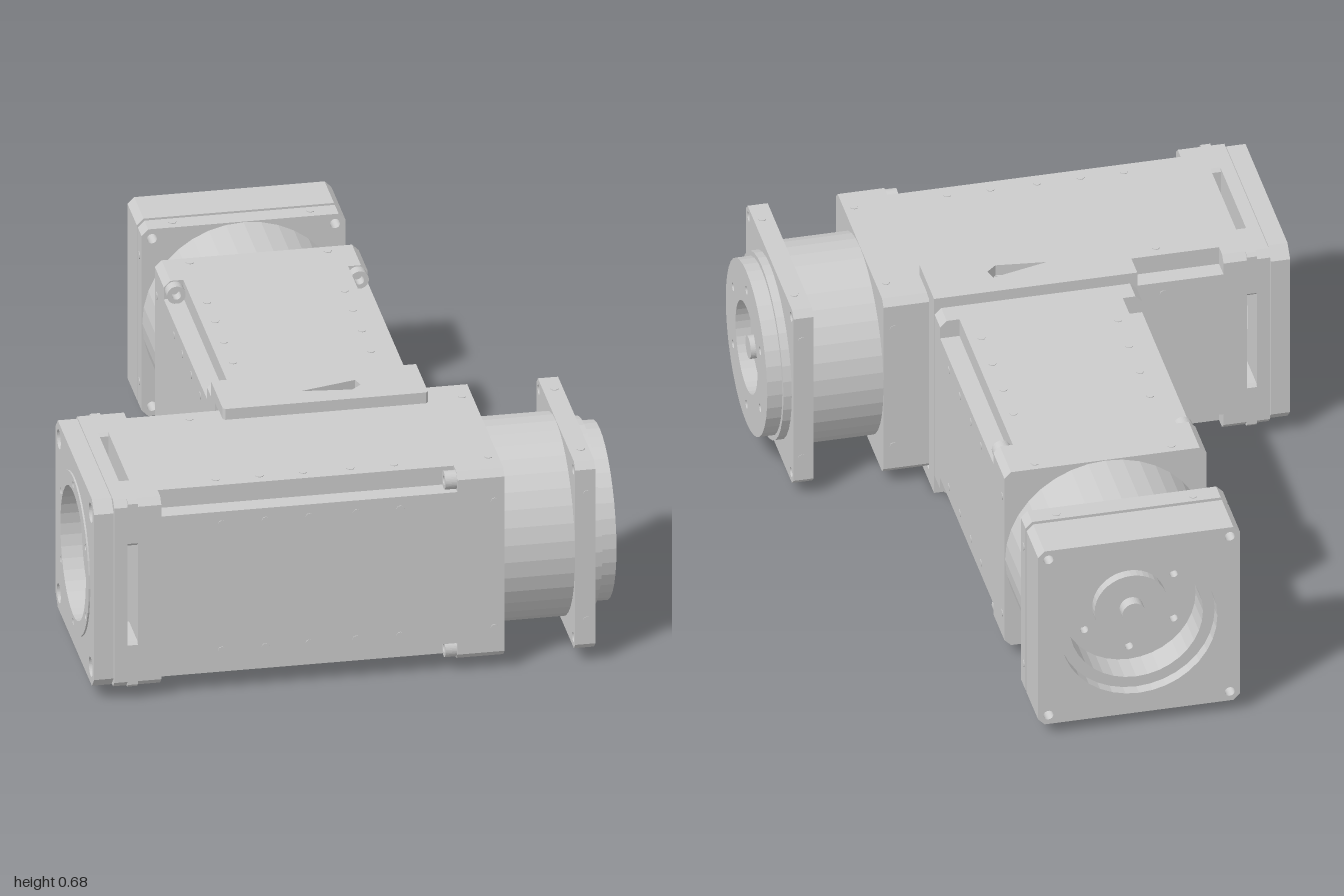
import * as THREE from 'three';

const HALF = 0.303;      // half width of the square housings
const INNER = 0.245;     // half width inside the corner grooves
const BOLT = 0.272;      // corner bolt offset
const material = new THREE.MeshStandardMaterial({ color: 0xcccccc });
const corners = [[1, 1], [-1, 1], [-1, -1], [1, -1]];

function polygon(points) {
  return new THREE.Shape(points.map(([x, y]) => new THREE.Vector2(x, y)));
}

// square section with chamfered corners
function square(h = HALF, c = 0.02) {
  return polygon([[h, c - h], [h, h - c], [h - c, h], [c - h, h],
    [-h, h - c], [-h, c - h], [c - h, -h], [h - c, -h]]);
}

// square section with a rectangular groove along each corner
function grooved() {
  const h = HALF, n = INNER;
  return polygon([[h, -n], [h, n], [n, n], [n, h], [-n, h], [-n, n],
    [-h, n], [-h, -n], [-n, -n], [-n, -h], [n, -h], [n, -n]]);
}

function disc(r) {
  return new THREE.Shape().absarc(0, 0, r, 0, Math.PI * 2, false);
}

// cut round holes given as [x, y, radius]
function drill(shape, holes) {
  for (const [x, y, r] of holes) {
    shape.holes.push(new THREE.Path().absarc(x, y, r, 0, Math.PI * 2, true));
  }
  return shape;
}

const cornerHoles = (r) => corners.map(([x, y]) => [x * BOLT, y * BOLT, r]);
const boltCircle = (n, radius, r) => Array.from({ length: n }, (_, i) => {
  const a = (i + 0.5) / n * Math.PI * 2;
  return [Math.cos(a) * radius, Math.sin(a) * radius, r];
});

// extrude a section between two stations along local z
function slab(parent, name, shape, from, to) {
  const geometry = new THREE.ExtrudeGeometry(shape,
    { depth: to - from, bevelEnabled: false, curveSegments: 18 });
  const mesh = new THREE.Mesh(geometry, material);
  mesh.position.z = from;
  mesh.name = name;
  parent.add(mesh);
  return mesh;
}

// small screws set into all four sides at one station
function sideScrews(parent, station, offset) {
  for (let side = 0; side < 4; side++) {
    const holder = new THREE.Group();
    holder.name = 'sideScrews';
    holder.rotation.z = side * Math.PI / 2;
    for (const s of [-1, 1]) {
      const screw = new THREE.Mesh(new THREE.CylinderGeometry(0.012, 0.012, 0.01, 8), material);
      screw.name = 'sideScrew';
      screw.position.set(s * offset, HALF - 0.003, station);
      holder.add(screw);
    }
    parent.add(holder);
  }
}

// grooved body, end block, round neck and square flange, running along local z
function actuator(name, back, grooveStart, shift) {
  const g = new THREE.Group();
  g.name = name;
  const at = (s) => s + shift;
  slab(g, 'rearBlock', square(), back, grooveStart);
  slab(g, 'groovedBody', grooved(), grooveStart, at(0.30));
  slab(g, 'endBlock', square(), at(0.30), at(0.44));
  slab(g, 'roundNeck', disc(HALF - 0.002), at(0.44), at(0.65));
  slab(g, 'flange', drill(square(), cornerHoles(0.015)), at(0.65), at(0.71));
  for (const [x, y] of corners) {
    const tie = slab(g, 'tieBolt', drill(disc(0.028), [[0, 0, 0.014]]), at(0.265), at(0.30));
    tie.position.x = x * BOLT;
    tie.position.y = y * BOLT;
  }
  sideScrews(g, at(0.41), 0.205);
  sideScrews(g, at(0.685), 0.205);
  return g;
}

function crossActuator() {
  const g = actuator('crossActuator', -0.65, -0.58, 0);

  // stepped output disc with a recessed hub
  slab(g, 'outputStep', disc(0.28), 0.71, 0.735);
  slab(g, 'outputRing', drill(disc(0.265),
    [[0, 0, 0.14], ...boltCircle(6, 0.2, 0.013)]), 0.735, 0.78);
  slab(g, 'outputShaft', disc(0.035), 0.735, 0.775);

  // four posts leave a ventilation slot on every side
  for (const [x, y] of corners) {
    const post = slab(g, 'slotPost', square(0.074, 0.01), -0.68, -0.65);
    post.position.x = x * (HALF - 0.074);
    post.position.y = y * (HALF - 0.074);
  }

  // rear cover with open centre, raised ring and corner bolt pockets
  slab(g, 'rearFrame', drill(square(), [[0, 0, 0.185]]), -0.72, -0.68);
  slab(g, 'rearCover', drill(square(HALF, 0.035),
    [[0, 0, 0.2], ...corners.map(([x, y]) => [x * 0.25, y * 0.25, 0.03])]), -0.78, -0.722);
  slab(g, 'rearRing', drill(disc(0.245),
    [[0, 0, 0.2], ...boltCircle(6, 0.222, 0.01)]), -0.785, -0.78);

  // rows of small screws along the body
  for (const s of [-0.4, -0.27, -0.14, 0, 0.13]) sideScrews(g, s, 0.205);
  return g;
}

function stemActuator() {
  const g = actuator('stemActuator', -0.325, -0.25, 0.13);

  // deep end housing around a small hub
  slab(g, 'endHousing', drill(square(), [[0, 0, 0.2], ...cornerHoles(0.015)]), 0.853, 0.965);
  slab(g, 'housingRim', drill(square(), [[0, 0, 0.235], ...cornerHoles(0.015)]), 0.965, 1);
  slab(g, 'hubPlate', drill(disc(0.2), boltCircle(6, 0.155, 0.012)), 0.84, 0.87);
  slab(g, 'hub', disc(0.11), 0.85, 0.90);
  slab(g, 'outputShaft', disc(0.035), 0.90, 0.935);
  for (const s of [-0.14, 0, 0.14, 0.27]) sideScrews(g, s, 0.205);
  return g;
}

// C-shaped bracket that grips the cross actuator
function bracket() {
  const g = new THREE.Group();
  g.name = 'bracket';
  const plate = new THREE.Mesh(new THREE.BoxGeometry(0.61, 0.68, 0.065), material);
  plate.name = 'backPlate';
  plate.position.z = 0.3525;
  g.add(plate);
  for (const s of [-1, 1]) {
    // lip outline in x and z, with a triangular window
    const outline = polygon([[-0.305, 0.385], [0.305, 0.385], [0.305, 0.505],
      [0.298, 0.512], [-0.298, 0.512], [-0.305, 0.505]]);
    outline.holes.push(polygon([[-0.06, 0.435], [0.11, 0.391], [0.12, 0.425], [0.09, 0.452]]));
    const lip = slab(g, s > 0 ? 'topLip' : 'bottomLip', outline, 0, 0.04);
    lip.rotation.x = Math.PI / 2;
    lip.position.set(0, s > 0 ? 0.34 : -0.30, 0);
  }
  return g;
}

export function createModel() {
  const model = new THREE.Group();
  model.name = 'twoAxisActuator';

  const cross = crossActuator();
  cross.rotation.y = Math.PI / 2;
  cross.position.set(0, 0.342, 0.692);

  const stem = stemActuator();
  stem.rotation.y = Math.PI;
  stem.position.y = 0.342;

  const clamp = bracket();
  clamp.position.y = 0.34;

  model.add(cross, stem, clamp);
  return model;
}
